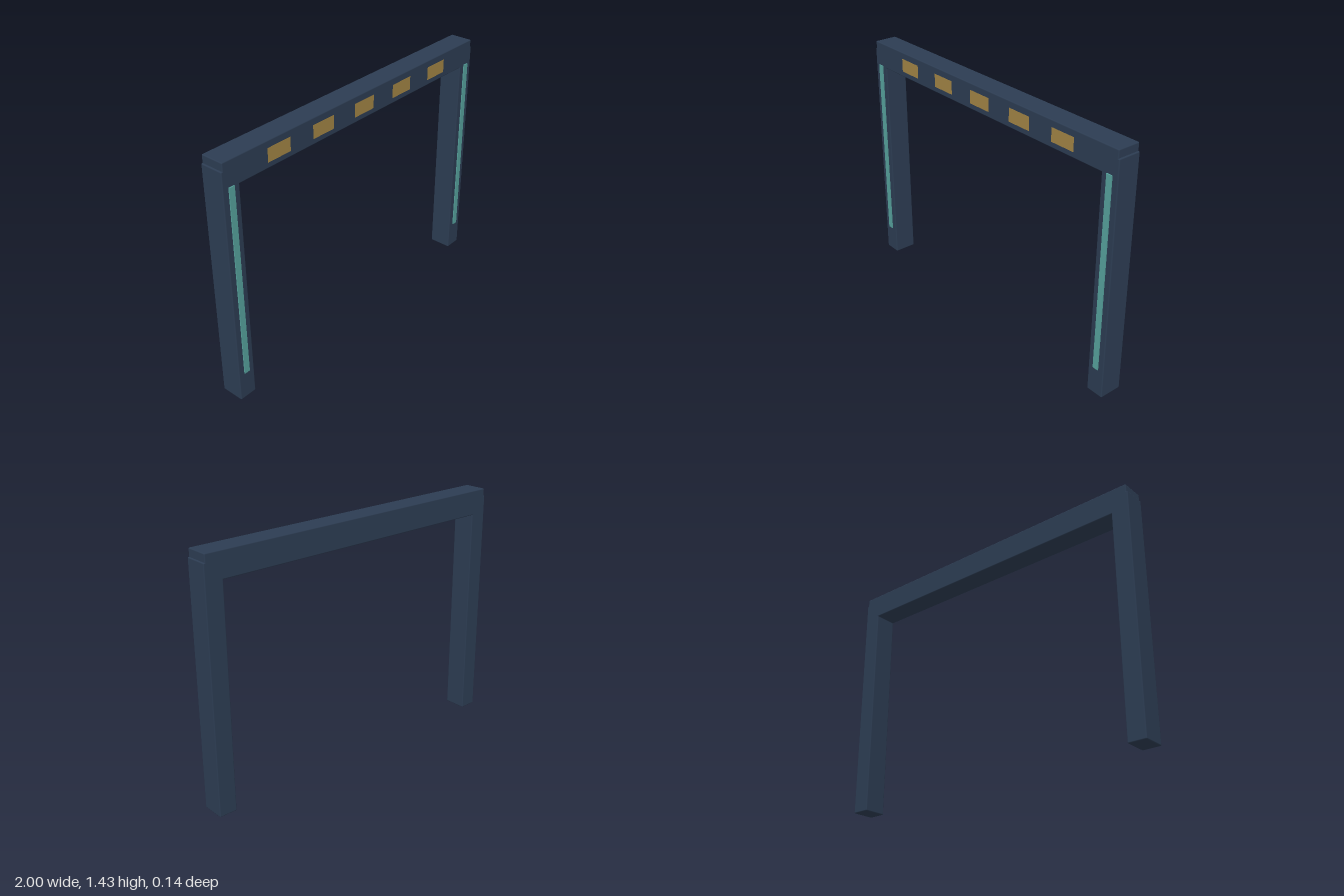
import * as THREE from 'three';
import { RoundedBoxGeometry } from 'three/addons/geometries/RoundedBoxGeometry.js';

export function createModel() {
  const group = new THREE.Group();
  const navy = new THREE.MeshStandardMaterial({ color: 0x2c3c52 });
  const teal = new THREE.MeshStandardMaterial({ color: 0x55a09b });
  const amber = new THREE.MeshStandardMaterial({ color: 0xa08344, side: THREE.DoubleSide });

  const add = (name, geometry, material, x, y, z) => {
    const mesh = new THREE.Mesh(geometry, material);
    mesh.name = name;
    mesh.position.set(x, y, z);
    group.add(mesh);
  };

  const depth = 0.136, midZ = -0.003, front = midZ + depth / 2;
  const beveled = (w, h) => new RoundedBoxGeometry(w, h, depth, 2, 0.006);

  // Posts, each with a raised light strip on the front
  for (const [side, s] of [['left', 1], ['right', -1]]) {
    add(side + 'Post', beveled(0.106, 1.388), navy, s * 0.947, 0.694, midZ);
    add(side + 'LightStrip', new THREE.BoxGeometry(0.035, 1.128, 0.012), teal, s * 0.947, 0.729, front);
  }

  // Lintel across the top, set in slightly from the post sides
  add('lintel', beveled(1.984, 0.148), navy, 0, 1.359, midZ);

  // Row of thin panels along the lintel
  for (let i = -2; i <= 2; i++) {
    add('lintelPanel' + (i + 3), new THREE.PlaneGeometry(0.155, 0.078), amber, i * 0.317, 1.359, front + 0.006);
  }

  return group;
}
